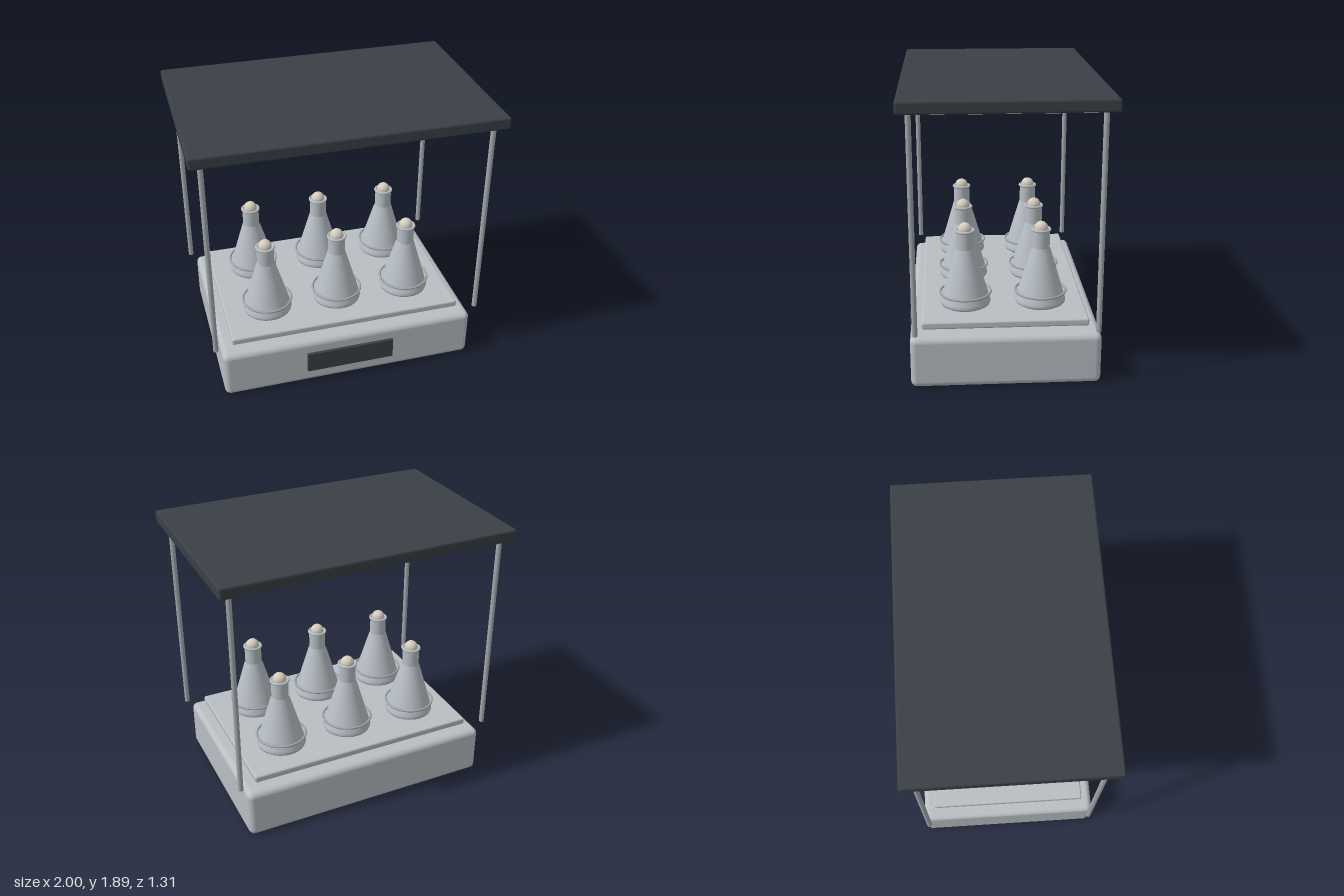
import * as THREE from 'three';
import { RoundedBoxGeometry } from 'three/addons/geometries/RoundedBoxGeometry.js';

const material = (name, color) => {
  const m = new THREE.MeshStandardMaterial({ color });
  m.name = name;
  return m;
};

export function createModel() {
  const model = new THREE.Group();
  model.name = 'flaskShaker';

  const casing = material('casing grey', 0xb9bec3);
  const steel = material('post steel', 0xa3a8ad);
  const glass = material('glass grey', 0xb8bfc5);
  const dark = material('dark charcoal', 0x3a4045);
  const lamp = material('warm lamp', 0xe6dac6);
  const cotton = material('cotton cream', 0xd6cebf);

  const add = (parent, name, geometry, mat, x = 0, y = 0, z = 0) => {
    const mesh = new THREE.Mesh(geometry, mat);
    mesh.name = name;
    mesh.position.set(x, y, z);
    parent.add(mesh);
    return mesh;
  };
  const roundBox = (w, h, d, r) => new RoundedBoxGeometry(w, h, d, 4, r);

  // Base unit with control panel, and the tray hovering just above it
  add(model, 'base', roundBox(1.764, 0.345, 1.226, 0.04), casing, 0, 0.1725);
  add(model, 'controlPanel', roundBox(0.615, 0.152, 0.03, 0.005), dark, 0, 0.178, 0.617);
  add(model, 'tray', roundBox(1.606, 0.048, 1.076, 0.012), casing, 0, 0.396);

  // Canopy with a lamp panel underneath
  add(model, 'canopy', roundBox(2, 0.08, 1.306, 0.014), dark, 0, 1.85);
  add(model, 'lampPanel', new THREE.BoxGeometry(1.85, 0.02, 1.16), lamp, 0, 1.805);

  // Corner posts
  const post = new THREE.CylinderGeometry(0.0175, 0.0175, 1.43, 16);
  for (const x of [-0.922, 0.922])
    for (const z of [-0.578, 0.578]) add(model, 'post', post, steel, x, 1.105, z);

  // Flask pieces: conical body, neck, lip, holding rings and stopper
  const body = new THREE.LatheGeometry(
    [[0, 0.42], [0.15, 0.42], [0.163, 0.428], [0.168, 0.442], [0.163, 0.458], [0.06, 0.81]]
      .map(([r, y]) => new THREE.Vector2(r, y)), 40);
  const neck = new THREE.CylinderGeometry(0.058, 0.058, 0.13, 32);
  const lip = new THREE.TorusGeometry(0.058, 0.009, 10, 32).rotateX(Math.PI / 2);
  const ring = new THREE.TorusGeometry(0.168, 0.008, 8, 40).rotateX(Math.PI / 2);
  const stopper = new THREE.SphereGeometry(0.047, 14, 10);

  for (const x of [-0.5, 0, 0.5]) {
    for (const z of [-0.25, 0.25]) {
      const flask = new THREE.Group();
      flask.name = 'flask';
      flask.position.set(x, 0, z);
      add(flask, 'flaskBody', body, glass);
      add(flask, 'flaskNeck', neck, glass, 0, 0.868);
      add(flask, 'flaskLip', lip, glass, 0, 0.931);
      add(flask, 'holdingRing', ring, steel, 0, 0.505);
      add(flask, 'stopper', stopper, cotton, 0, 0.939);
      model.add(flask);
    }
  }
  return model;
}
